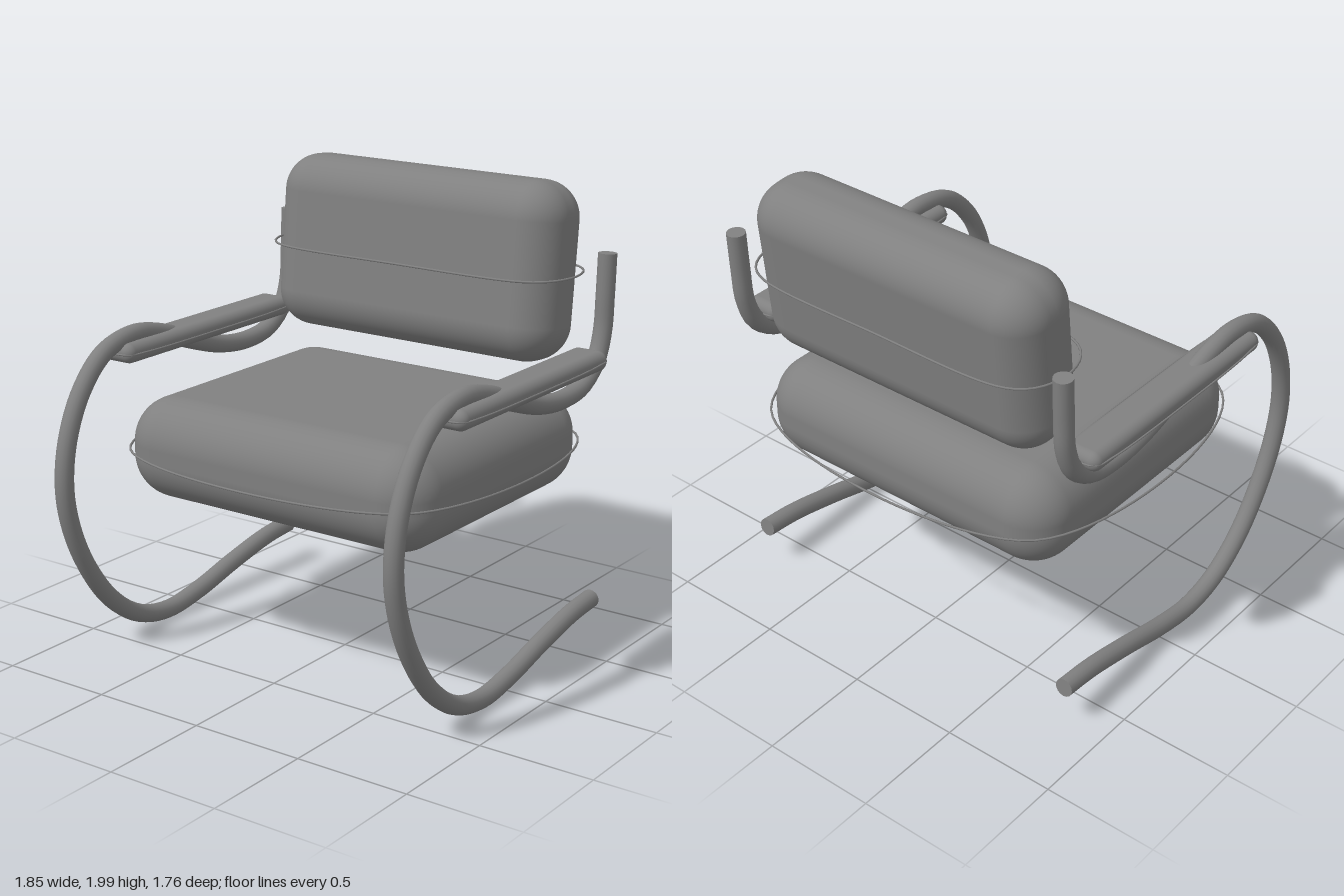
import * as THREE from 'three';
import { RoundedBoxGeometry } from 'three/addons/geometries/RoundedBoxGeometry.js';

const grey = new THREE.MeshStandardMaterial({ color: 0x808080 });
grey.name = 'grey';

function part(name, geometry, x = 0, y = 0, z = 0) {
  const mesh = new THREE.Mesh(geometry, grey);
  mesh.name = name;
  mesh.position.set(x, y, z);
  return mesh;
}

// Thin closed cord lying flat, through [x, z] points
function piping(name, points, x, y, z, radius = 0.005) {
  const curve = new THREE.CatmullRomCurve3(
    points.map(([px, pz]) => new THREE.Vector3(px, 0, pz)), true);
  return part(name, new THREE.TubeGeometry(curve, 96, radius, 6, true), x, y, z);
}

// Tube along an open curve, with a disc closing each end
function cappedTube(name, curve, radius) {
  const group = new THREE.Group();
  group.name = name;
  group.add(part('tube', new THREE.TubeGeometry(curve, 110, radius, 16)));
  for (const t of [0, 1]) {
    const p = curve.getPointAt(t);
    const cap = part('tubeEnd', new THREE.CircleGeometry(radius, 16), p.x, p.y, p.z);
    const outward = curve.getTangentAt(t).multiplyScalar(t ? 1 : -1);
    cap.quaternion.setFromUnitVectors(new THREE.Vector3(0, 0, 1), outward);
    group.add(cap);
  }
  return group;
}

// Side frame path as [z, y], from the rear foot to the top behind the arm
const framePath = [
  [-0.67, 0.195], [-0.5, 0.18], [-0.25, 0.13], [0, 0.07], [0.21, 0.046],
  [0.4, 0.09], [0.58, 0.22], [0.73, 0.43], [0.81, 0.63], [0.832, 0.8],
  [0.8, 0.99], [0.71, 1.17], [0.57, 1.3], [0.38, 1.343], [0.2, 1.31],
  [0, 1.235], [-0.2, 1.175], [-0.38, 1.157], [-0.53, 1.18], [-0.64, 1.26],
  [-0.69, 1.38], [-0.702, 1.53], [-0.71, 1.705],
];

export function createModel() {
  const model = new THREE.Group();
  model.name = 'cantileverArmchair';

  // Seat
  model.add(part('seatCushion', new RoundedBoxGeometry(1.5, 0.435, 1.32, 8, 0.19), 0, 0.903, -0.072));
  model.add(piping('seatPiping',
    [[0.696, 0.636], [0.696, -0.636], [-0.696, -0.636], [-0.696, 0.636]], 0, 0.905, -0.075));

  // Backrest, leaning backwards
  const back = part('backCushion', new RoundedBoxGeometry(1.41, 0.76, 0.365, 8, 0.16), 0, 1.617, -0.585);
  back.rotation.x = -0.1;
  model.add(back);
  model.add(piping('backPiping', [
    [0, 0.23], [0.6, 0.21], [0.7, 0.14], [0.742, 0], [0.7, -0.14], [0.6, -0.21],
    [0, -0.23], [-0.6, -0.21], [-0.7, -0.14], [-0.742, 0], [-0.7, 0.14], [-0.6, 0.21],
  ], 0, 1.616, -0.585));

  // Side frames and arm pads
  for (const side of [1, -1]) {
    const x = side * 0.82;
    const curve = new THREE.CatmullRomCurve3(
      framePath.map(([z, y]) => new THREE.Vector3(x, y, z)));
    const label = side > 0 ? 'left' : 'right';
    model.add(cappedTube(label + 'Frame', curve, 0.04));
    model.add(part(label + 'ArmPad', new RoundedBoxGeometry(0.168, 0.085, 1.11, 5, 0.04), x, 1.282, -0.055));
    model.add(piping(label + 'ArmPiping', [
      [0.1, 0], [0.09, 0.45], [0.07, 0.545], [0, 0.56], [-0.07, 0.545], [-0.09, 0.45],
      [-0.1, 0], [-0.09, -0.45], [-0.07, -0.545], [0, -0.56], [0.07, -0.545], [0.09, -0.45],
    ], x, 1.282, -0.055, 0.004));
  }
  return model;
}
